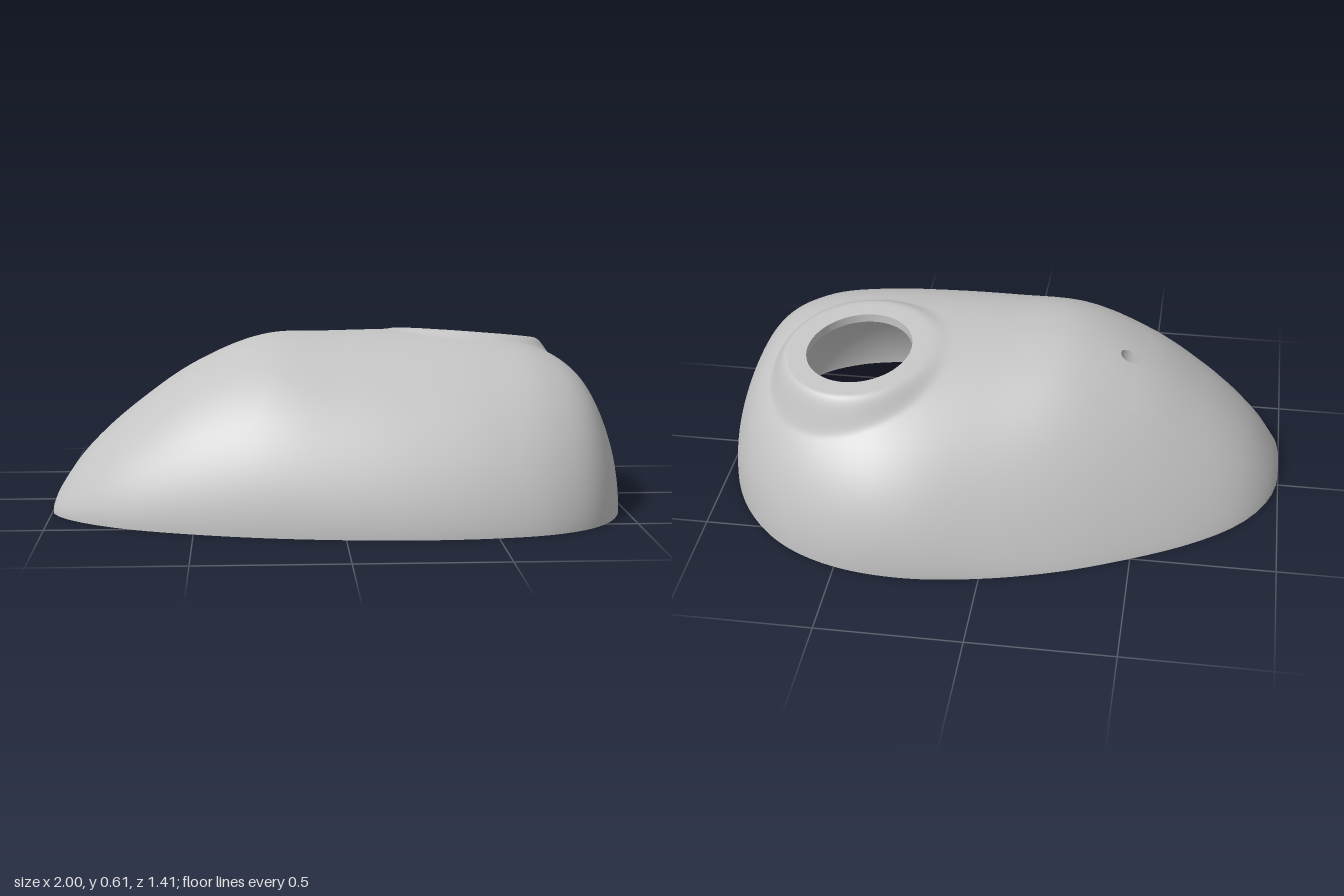
import * as THREE from 'three';

// Plan outline and crest height, sampled at x = -cos(k * 15 degrees)
const FRONT_Z = [0.20, 0.30, 0.405, 0.505, 0.585, 0.65, 0.69, 0.705, 0.69, 0.64, 0.53, 0.335, 0.03];
const BACK_Z = [0.07, -0.10, -0.255, -0.385, -0.50, -0.605, -0.678, -0.71, -0.682, -0.585, -0.415, -0.20, 0.03];
const CREST = [0, 0.09, 0.22, 0.36, 0.5, 0.594, 0.602, 0.602, 0.59, 0.55, 0.445, 0.23, 0];

const RINGS = 90, SEGS = 160;
const PORT = { x: 0.49, z: -0.18, r: 0.185 };
const VENT = { x: -0.44, z: -0.03, r: 0.029, inner: 2, outer: 6, seg: 10 };

// Smooth interpolation through a table
function sample(table, x) {
  const u = (Math.acos(THREE.MathUtils.clamp(-x, -1, 1)) / Math.PI) * (table.length - 1);
  const k = Math.min(Math.floor(u), table.length - 2), f = u - k, last = table.length - 1;
  const b = table[k], c = table[k + 1];
  const a = k > 0 ? table[k - 1] : 2 * b - c;
  const d = k + 2 <= last ? table[k + 2] : 2 * c - b;
  return b + 0.5 * f * (c - a + f * (2 * a - 5 * b + 4 * c - d + f * (3 * (b - c) + d - a)));
}

function across(x, z) {
  const f = sample(FRONT_Z, x), b = sample(BACK_Z, x);
  return (z - (f + b) / 2) / Math.max((f - b) / 2, 1e-5);
}

// Full shoulders at the wide end, a long slope at the back of the narrow end
function domeHeight(x, z) {
  const t = across(x, z);
  const rest = Math.max(0, 1 - Math.pow(Math.abs(t), 2.2));
  const wide = THREE.MathUtils.smoothstep(x, -0.35, 0.4);
  const power = t > 0 ? THREE.MathUtils.lerp(0.56, 0.62, wide) : THREE.MathUtils.lerp(0.88, 0.51, wide);
  return Math.max(0, sample(CREST, x)) * Math.pow(rest, power);
}

// Tilted raised collar around the port, blended into a base height
function withCollar(base, x, z, drop, inside, outside) {
  const dx = x - PORT.x, dz = z - PORT.z;
  const collar = 1 - THREE.MathUtils.smoothstep(Math.hypot(dx, dz), inside, outside);
  return THREE.MathUtils.lerp(base, 0.574 - drop - 0.08 * dx + 0.13 * dz, collar);
}

// Distance from the port centre to the outline along a ray
function reach(c, s, sx, sz) {
  let lo = PORT.r, hi = 2.5;
  for (let n = 0; n < 40; n++) {
    const m = (lo + hi) / 2;
    const x = (PORT.x + c * m) / sx, z = (PORT.z + s * m) / sz;
    if (Math.abs(x) < 1 && Math.abs(across(x, z)) < 1) lo = m; else hi = m;
  }
  return lo;
}

// Polar sheet from the port rim to the base outline, opened at the vent
function sheet(sx, sz, height, flip) {
  const vx = VENT.x - PORT.x, vz = VENT.z - PORT.z;
  const ventDist = Math.hypot(vx, vz), er = [vx / ventDist, vz / ventDist], et = [-er[1], er[0]];
  const start = Math.atan2(vz, vx) - (VENT.seg * 2 * Math.PI) / SEGS;
  const ventReach = reach(er[0], er[1], sx, sz);
  const ventRing = Math.round(
    (Math.asin((ventDist - PORT.r) / (ventReach - PORT.r)) * 2 / Math.PI) * RINGS);
  const points = [], index = [];
  const id = (i, j) => i * SEGS + ((j + SEGS) % SEGS);
  const ringOf = (i, j) => Math.max(Math.abs(i - ventRing), Math.abs(j - VENT.seg));
  const rays = [];
  for (let j = 0; j < SEGS; j++) {
    const a = start + (j * 2 * Math.PI) / SEGS, c = Math.cos(a), s = Math.sin(a);
    rays.push([c, s, reach(c, s, sx, sz)]);
  }
  for (let i = 0; i <= RINGS; i++) {
    for (let j = 0; j < SEGS; j++) {
      const [c, s, far] = rays[j];
      const r = PORT.r + (far - PORT.r) * Math.sin((i / RINGS) * Math.PI / 2);
      let x = PORT.x + c * r, z = PORT.z + s * r;
      const m = ringOf(i, j);
      if (m > 0 && m < VENT.outer) {
        // pull the square of cells around the vent into a circle
        const di = i - ventRing, dj = j - VENT.seg, len = Math.hypot(di, dj);
        const f = Math.max(0, (m - VENT.inner) / (VENT.outer - VENT.inner));
        x = THREE.MathUtils.lerp(VENT.x + VENT.r * (di * er[0] + dj * et[0]) / len, x, f);
        z = THREE.MathUtils.lerp(VENT.z + VENT.r * (di * er[1] + dj * et[1]) / len, z, f);
      }
      points.push(new THREE.Vector3(x, i === RINGS ? 0 : height(x, z), z));
    }
  }
  for (let i = 0; i < RINGS; i++) {
    for (let j = 0; j < SEGS; j++) {
      const k = VENT.inner;
      if (ringOf(i, j) <= k && ringOf(i + 1, j + 1) <= k) continue;
      const a = id(i, j), b = id(i, j + 1), c = id(i + 1, j), d = id(i + 1, j + 1);
      if (flip) index.push(a, c, b, b, c, d);
      else index.push(a, b, c, b, d, c);
    }
  }
  const geometry = new THREE.BufferGeometry().setFromPoints(points);
  geometry.setIndex(index);
  geometry.computeVertexNormals();

  // Edge loops for the joining walls
  const row = (i) => points.slice(i * SEGS, (i + 1) * SEGS);
  const ventLoop = [], k = VENT.inner;
  const at = (di, dj) => ventLoop.push(points[id(ventRing + di, VENT.seg + dj)]);
  for (let n = -k; n < k; n++) at(k, n);
  for (let n = k; n > -k; n--) at(n, k);
  for (let n = k; n > -k; n--) at(-k, n);
  for (let n = -k; n < k; n++) at(n, -k);
  return { geometry, port: row(0), base: row(RINGS), vent: ventLoop };
}

// Strip joining two matching closed loops
function wall(top, bottom, flip) {
  const n = top.length, index = [];
  for (let j = 0; j < n; j++) {
    const k = (j + 1) % n;
    if (flip) index.push(j, n + j, k, k, n + j, n + k);
    else index.push(j, k, n + j, k, n + k, n + j);
  }
  const geometry = new THREE.BufferGeometry().setFromPoints([...top, ...bottom]);
  geometry.setIndex(index);
  geometry.computeVertexNormals();
  return geometry;
}

export function createModel() {
  const group = new THREE.Group();
  group.name = 'hollowShell';
  const grey = new THREE.MeshStandardMaterial({ color: 0xc4c4c4, side: THREE.DoubleSide });
  grey.name = 'grey';
  const add = (name, geometry) => {
    const mesh = new THREE.Mesh(geometry, grey);
    mesh.name = name;
    group.add(mesh);
  };

  const SX = 0.945, SZ = 0.92, SY = 0.91;
  const outer = sheet(1, 1, (x, z) => withCollar(domeHeight(x, z), x, z, 0, 0.25, 0.32), false);
  const inner = sheet(SX, SZ,
    (x, z) => withCollar(SY * domeHeight(x / SX, z / SZ), x, z, 0.03, 0.2, 0.28), true);
  add('outerShell', outer.geometry);
  add('innerShell', inner.geometry);
  add('portWall', wall(outer.port, inner.port, true));
  add('ventWall', wall(outer.vent, inner.vent, true));
  add('baseRim', wall(outer.base, inner.base, false));
  return group;
}
